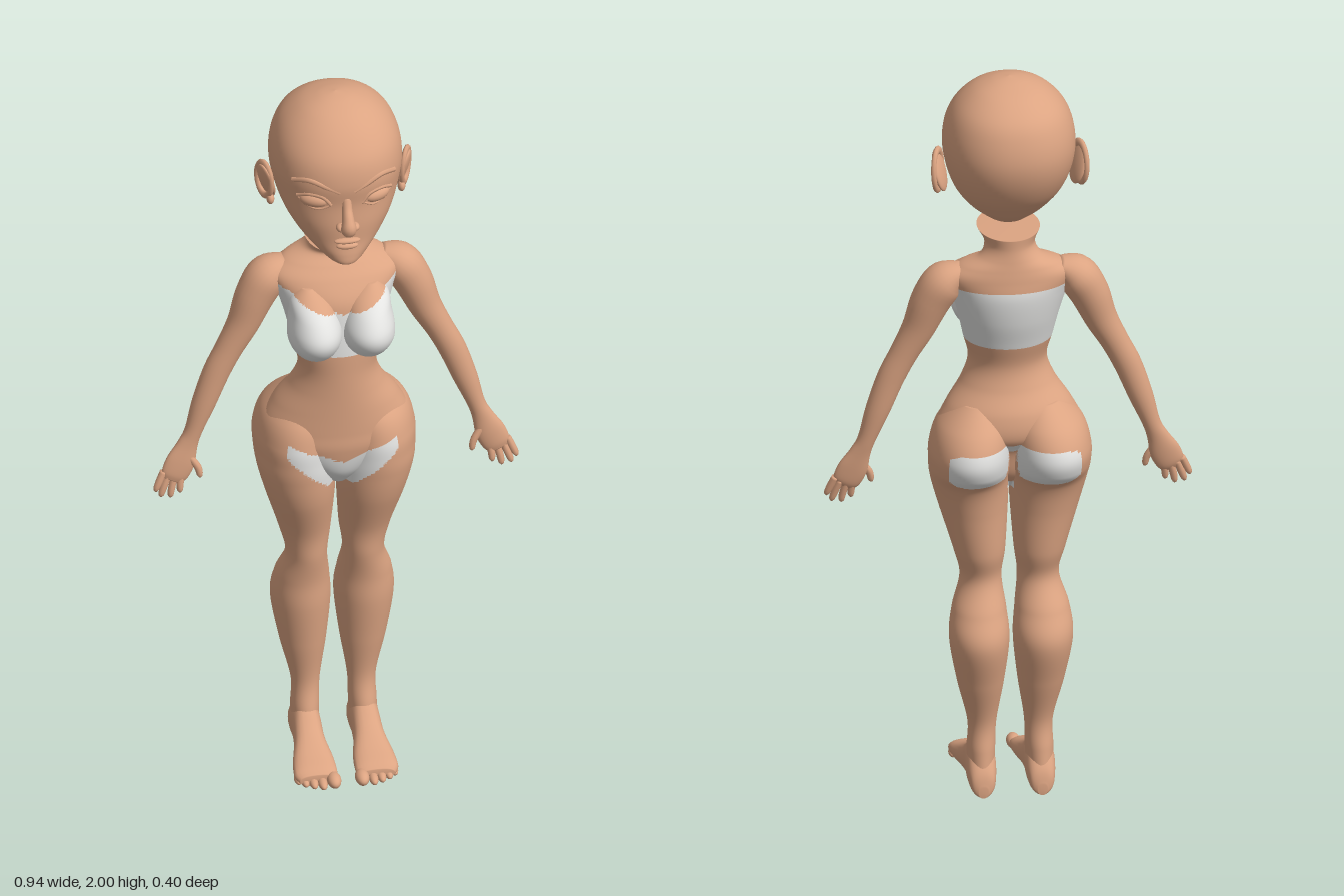
import * as THREE from 'three';

const mat = (name, color) => Object.assign(new THREE.MeshStandardMaterial({ color }), { name });
const X = new THREE.Vector3(1, 0, 0), Y = new THREE.Vector3(0, 1, 0), Z = new THREE.Vector3(0, 0, 1);

// Smooth interpolation through rows of numbers
function sample(rows, t) {
  const f = t * (rows.length - 1), i = Math.min(Math.floor(f), rows.length - 2), u = f - i;
  const at = k => rows[Math.max(0, Math.min(rows.length - 1, k))];
  const [a, b, c, d] = [at(i - 1), at(i), at(i + 1), at(i + 2)];
  return b.map((q, k) => q + 0.5 * u * (c[k] - a[k]
    + u * (2 * a[k] - 5 * q + 4 * c[k] - d[k] + u * (3 * (q - c[k]) + d[k] - a[k]))));
}

// Closed skin over elliptical rings [x, y, z, radiusU, radiusV]; v is the ring's second axis,
// dir fixes the ring plane (otherwise it follows the path); isWhite chooses painted faces
function loft(rows, { v, dir, steps = 40, n = 24, power = 1, isWhite }) {
  const pos = [], skin = [], white = [];
  const bend = q => Math.sign(q) * Math.abs(q) ** power;
  for (let i = 0; i <= steps; i++) {
    const t = i / steps, r = sample(rows, t);
    const a = sample(rows, Math.max(0, t - 0.01)), b = sample(rows, Math.min(1, t + 0.01));
    const d = dir || new THREE.Vector3(b[0] - a[0], b[1] - a[1], b[2] - a[2]).normalize();
    const u = v.clone().cross(d).normalize(), w = d.clone().cross(u);
    for (let j = 0; j < n; j++) {
      const ang = j / n * Math.PI * 2;
      const p = new THREE.Vector3(r[0], r[1], r[2])
        .addScaledVector(u, Math.max(r[3], 0.0005) * bend(Math.cos(ang)))
        .addScaledVector(w, Math.max(r[4], 0.0005) * bend(Math.sin(ang)));
      pos.push(p.x, p.y, p.z);
    }
  }
  const first = pos.length / 3, last = first + 1;
  pos.push(...rows[0].slice(0, 3), ...rows[rows.length - 1].slice(0, 3));
  const face = (...f) => {
    const c = [0, 1, 2].map(k => f.reduce((s, q) => s + pos[q * 3 + k], 0) / 3);
    (isWhite && isWhite(...c) ? white : skin).push(...f);
  };
  for (let j = 0; j < n; j++) {
    const k = (j + 1) % n;
    face(first, k, j);
    face(last, steps * n + j, steps * n + k);
    for (let i = 0; i < steps; i++) {
      face(i * n + j, i * n + k, (i + 1) * n + k);
      face(i * n + j, (i + 1) * n + k, (i + 1) * n + j);
    }
  }
  const g = new THREE.BufferGeometry();
  g.setAttribute('position', new THREE.Float32BufferAttribute(pos, 3));
  g.setIndex([...skin, ...white]);
  g.addGroup(0, skin.length, 0);
  if (white.length) g.addGroup(skin.length, white.length, 1);
  g.computeVertexNormals();
  return g;
}

// Upright form from rows [y, centreX, halfWidth, zFront, zBack]
const column = (rows, opts) => loft(
  rows.map(([y, x, w, f, b]) => [x, y, (f + b) / 2, (f - b) / 2, w]), { v: X, dir: Y, n: 64, ...opts });

// Painted regions of the underwear
const briefs = (x, y, z) => {
  const a = Math.abs(x);
  if (z > -0.06) return a < 0.14 && y < 0.935 + 0.47 * a && y > 0.85 + Math.max(0, a - 0.03);
  return z < -0.105 && ((a - 0.075) / 0.095) ** 4 + ((y - 0.955) / 0.05) ** 4 < 1;
};
const top = (x, y, z) => y > 1.265 && y < (z > 0 ? 1.385 + 0.4 * Math.abs(x) : 1.435);

export function createModel() {
  const root = new THREE.Group();
  const skin = mat('skin', 0xdca482), white = mat('white cloth', 0xe4e4e2);
  const paint = [skin, white];
  const add = (name, geo, material = paint) => {
    const m = new THREE.Mesh(geo, material);
    m.name = name;
    root.add(m);
    return m;
  };
  const blob = (name, p, r, rot = [0, 0, 0], material = skin) => {
    const m = add(name, new THREE.SphereGeometry(1, 24, 16), material);
    m.position.set(...p);
    m.scale.set(...r);
    m.rotation.set(...rot);
    return m;
  };
  const cord = (name, pts, r) => add(name, new THREE.TubeGeometry(
    new THREE.CatmullRomCurve3(pts.map(p => new THREE.Vector3(...p))), 16, r, 6), skin);

  // Torso with flared neck
  add('torso', column([
    [0.85, 0, 0.03, 0.05, -0.04], [0.9, 0, 0.09, 0.085, -0.08], [0.97, 0, 0.17, 0.1, -0.1],
    [1.02, 0, 0.187, 0.1, -0.13], [1.08, 0, 0.16, 0.1, -0.125], [1.14, 0, 0.12, 0.1, -0.095],
    [1.2, 0, 0.1, 0.1, -0.082], [1.27, 0, 0.115, 0.1, -0.1], [1.34, 0, 0.13, 0.095, -0.12],
    [1.41, 0, 0.15, 0.085, -0.13], [1.46, 0, 0.165, 0.055, -0.125], [1.49, 0, 0.13, 0.025, -0.12],
    [1.515, 0, 0.08, 0, -0.115], [1.545, 0, 0.064, 0.035, -0.11], [1.575, 0, 0.08, 0.09, -0.11],
  ], { steps: 150, isWhite: (x, y, z) => briefs(x, y, z) || top(x, y, z) }));

  // Head
  add('head', column([
    [1.583, 0, 0.02, 0.15, 0.04], [1.592, 0, 0.05, 0.163, -0.03], [1.615, 0, 0.078, 0.163, -0.07],
    [1.65, 0, 0.11, 0.158, -0.11], [1.7, 0, 0.14, 0.158, -0.155], [1.76, 0, 0.16, 0.155, -0.187],
    [1.82, 0, 0.168, 0.16, -0.2], [1.88, 0, 0.16, 0.148, -0.192], [1.93, 0, 0.136, 0.115, -0.168],
    [1.97, 0, 0.094, 0.07, -0.118], [1.992, 0, 0.046, 0.022, -0.062], [2, 0, 0.001, -0.019, -0.021],
  ], { steps: 80, power: 0.93 }));

  // Nose, lips
  add('nose', loft([
    [0, 1.785, 0.148, 0.01, 0.012], [0, 1.755, 0.157, 0.015, 0.013], [0, 1.73, 0.172, 0.02, 0.016],
    [0, 1.71, 0.18, 0.022, 0.02], [0, 1.697, 0.168, 0.012, 0.016],
  ], { v: X, steps: 20, n: 16 }));
  blob('upperLip', [0, 1.661, 0.158], [0.034, 0.008, 0.012]);
  blob('lowerLip', [0, 1.645, 0.157], [0.028, 0.009, 0.012]);

  for (const s of [1, -1]) {
    const side = s > 0 ? 'left' : 'right';

    // Eyes, lids, brows, nostrils
    blob(side + 'Eye', [s * 0.08, 1.775, 0.126], [0.038, 0.02, 0.02], [0, s * 0.45, 0]);
    cord(side + 'UpperLid', [[s * 0.04, 1.768, 0.15], [s * 0.06, 1.792, 0.147],
      [s * 0.092, 1.796, 0.132], [s * 0.12, 1.782, 0.108]], 0.005);
    cord(side + 'LowerLid', [[s * 0.04, 1.768, 0.15], [s * 0.07, 1.755, 0.142],
      [s * 0.1, 1.761, 0.125], [s * 0.12, 1.78, 0.108]], 0.003);
    cord(side + 'Brow', [[s * 0.018, 1.806, 0.154], [s * 0.05, 1.822, 0.149],
      [s * 0.09, 1.838, 0.134], [s * 0.13, 1.825, 0.099]], 0.007);
    blob(side + 'Nostril', [s * 0.018, 1.707, 0.165], [0.012, 0.01, 0.016]);

    // Ears
    blob(side + 'Ear', [s * 0.176, 1.745, -0.022], [0.011, 0.056, 0.034], [0.15, s * -0.45, s * -0.22]);
    const rim = add(side + 'EarRim', new THREE.TorusGeometry(0.032, 0.007, 8, 28), skin);
    rim.position.set(s * 0.181, 1.748, -0.024);
    rim.rotation.set(0.15, Math.PI / 2 - s * 0.45, 0);
    rim.scale.y = 1.6;
    blob(side + 'EarLobe', [s * 0.168, 1.698, -0.008], [0.01, 0.016, 0.014]);

    // Bust cup
    add(side + 'Cup', column([
      [1.26, s * 0.066, 0.005, 0.085, 0.06], [1.275, s * 0.067, 0.045, 0.125, 0.01],
      [1.31, s * 0.068, 0.066, 0.155, -0.02], [1.345, s * 0.068, 0.068, 0.16, -0.03],
      [1.385, s * 0.07, 0.06, 0.137, -0.03], [1.42, s * 0.075, 0.05, 0.1, -0.02],
      [1.45, s * 0.08, 0.02, 0.055, 0],
    ], { steps: 60, isWhite: (x, y) => y < 1.385 + 0.4 * Math.abs(x) }));

    // Leg including buttock
    add(side + 'Leg', column([
      [0.05, 0.075, 0.034, 0.02, -0.1], [0.12, 0.074, 0.036, 0.005, -0.092], [0.2, 0.072, 0.037, -0.01, -0.086],
      [0.32, 0.077, 0.06, 0.005, -0.122], [0.44, 0.081, 0.076, 0.02, -0.154], [0.52, 0.08, 0.069, 0.023, -0.127],
      [0.6, 0.073, 0.053, 0.035, -0.09], [0.68, 0.077, 0.066, 0.045, -0.107], [0.8, 0.091, 0.088, 0.085, -0.12],
      [0.88, 0.1, 0.1, 0.1, -0.14], [0.93, 0.103, 0.103, 0.104, -0.178], [0.98, 0.103, 0.102, 0.102, -0.188],
      [1.04, 0.095, 0.09, 0.085, -0.16], [1.1, 0.08, 0.05, 0.04, -0.095],
    ].map(r => [r[0], s * r[1], ...r.slice(2)]), { steps: 180, isWhite: briefs }));

    // Foot, rows [z, centreX, halfWidth, height]
    add(side + 'Foot', loft([
      [-0.112, 0.075, 0.012, 0.03], [-0.1, 0.075, 0.03, 0.07], [-0.06, 0.075, 0.038, 0.12],
      [-0.01, 0.075, 0.037, 0.125], [0.04, 0.076, 0.04, 0.09], [0.1, 0.077, 0.052, 0.06],
      [0.145, 0.078, 0.055, 0.043], [0.165, 0.076, 0.045, 0.03],
    ].map(([z, x, w, h]) => [s * x, h / 2 + 0.005, z, w, h / 2]), { v: Y, dir: Z, power: 0.85 }));
    for (let i = 0; i < 5; i++) {
      const r = i ? 0.0125 - i * 0.0006 : 0.018;
      blob(side + 'Toe', [s * [0.036, 0.065, 0.087, 0.107, 0.123][i], r + 0.003,
        [0.17, 0.17, 0.163, 0.153, 0.14][i]], [r, r, 0.03 - i * 0.002]);
    }

    // Arm and palm
    const limb = (name, rows, opts) => add(name,
      loft(rows.map(r => [s * r[0], ...r.slice(1)]), { v: Z, ...opts }));
    limb(side + 'Arm', [
      [0.12, 1.475, -0.05, 0.02, 0.03], [0.165, 1.445, -0.045, 0.05, 0.055], [0.2, 1.39, -0.04, 0.051, 0.052],
      [0.232, 1.31, -0.035, 0.042, 0.041], [0.268, 1.24, -0.032, 0.036, 0.034], [0.302, 1.17, -0.03, 0.035, 0.031],
      [0.335, 1.08, -0.028, 0.031, 0.028], [0.362, 1, -0.025, 0.023, 0.021], [0.378, 0.96, -0.022, 0.027, 0.018],
      [0.396, 0.915, -0.017, 0.038, 0.017], [0.412, 0.88, -0.013, 0.036, 0.014], [0.42, 0.864, -0.01, 0.025, 0.008],
    ], { steps: 60 });

    // Fingers and thumb, from knuckle to tip
    [[0.441, 0.89, 0.461, 0.835], [0.428, 0.88, 0.448, 0.818], [0.412, 0.875, 0.424, 0.814],
      [0.394, 0.88, 0.4, 0.826], [0.376, 0.93, 0.349, 0.866]].forEach(([x0, y0, x1, y1], i) => {
      const mid = [(x0 + x1) / 2 + (i === 4 ? -0.008 : 0.002), (y0 + y1) / 2];
      limb(side + (i === 4 ? 'Thumb' : 'Finger'), [
        [x0, y0, -0.014, 0.009, 0.01], [...mid, -0.009, 0.0095, 0.0095],
        [x1, y1 + 0.008, -0.006, 0.0075, 0.0075], [x1, y1, -0.005, 0.001, 0.001],
      ], { steps: 12, n: 10 });
    });
  }
  return root;
}
